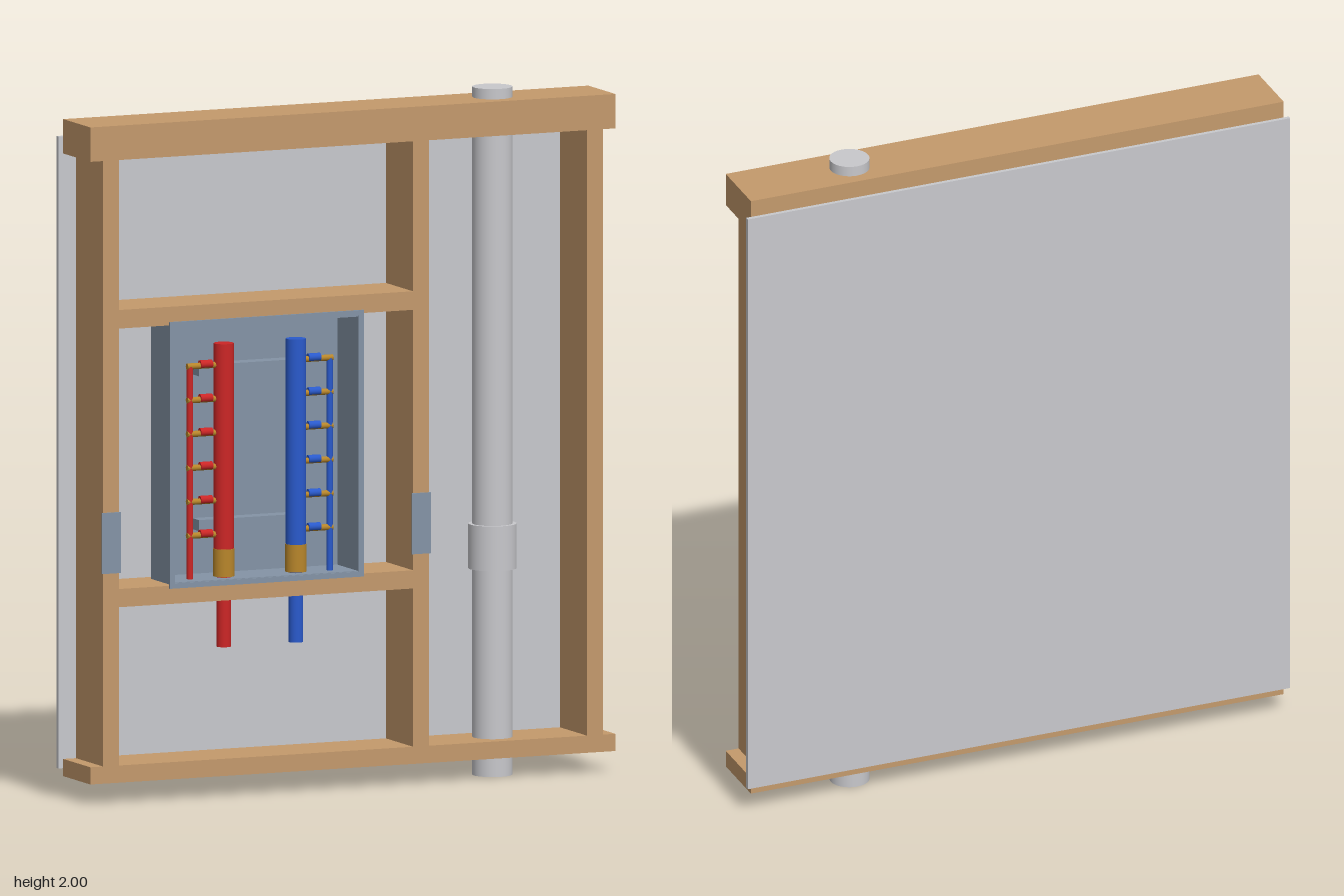
import * as THREE from 'three';

const mat = (name, color) => {
  const m = new THREE.MeshStandardMaterial({ color });
  m.name = name;
  return m;
};

export function createModel() {
  const wood = mat('wood', 0xc49a6c);
  const board = mat('board grey', 0xc8c9cd);
  const plastic = mat('plastic grey', 0xc8c8cc);
  const steel = mat('steel', 0x8494a6);
  const red = mat('red pipe', 0xcc2626);
  const blue = mat('blue pipe', 0x2a5acc);
  const brass = mat('brass', 0xb8862b);

  const model = new THREE.Group();
  model.name = 'plumbingWall';

  // Box given by its extents on each axis
  const box = (name, m, [x0, x1], [y0, y1], [z0, z1], parent = model) => {
    const mesh = new THREE.Mesh(new THREE.BoxGeometry(x1 - x0, y1 - y0, z1 - z0), m);
    mesh.position.set((x0 + x1) / 2, (y0 + y1) / 2, (z0 + z1) / 2);
    mesh.name = name;
    parent.add(mesh);
  };
  // Upright pipe between two heights
  const pipe = (name, m, x, z, r, y0, y1, parent = model) => {
    const mesh = new THREE.Mesh(new THREE.CylinderGeometry(r, r, y1 - y0, 28), m);
    mesh.position.set(x, (y0 + y1) / 2, z);
    mesh.name = name;
    parent.add(mesh);
  };
  // Sideways pipe between two x values
  const crossPipe = (name, m, x0, x1, y, z, r, parent) => {
    const mesh = new THREE.Mesh(new THREE.CylinderGeometry(r, r, Math.abs(x1 - x0), 16), m);
    mesh.rotation.z = Math.PI / 2;
    mesh.position.set((x0 + x1) / 2, y, z);
    mesh.name = name;
    parent.add(mesh);
  };

  // Timber frame
  const depth = [-0.092, 0.097];
  box('topPlate', wood, [-0.83, 0.83], [1.87, 1.97], depth);
  box('bottomPlate', wood, [-0.83, 0.83], [0.06, 0.11], depth);
  for (const x of [-0.765, 0.215, 0.765]) box('stud', wood, [x - 0.025, x + 0.025], [0.11, 1.87], depth);
  box('upperBlocking', wood, [-0.74, 0.19], [1.38, 1.434], depth);
  box('lowerBlocking', wood, [-0.74, 0.19], [0.57, 0.623], depth);

  // Wall board on the back
  box('wallBoard', board, [-0.845, 0.845], [0.083, 1.92], [-0.105, -0.093]);

  // Nail plates
  for (const x of [-0.765, 0.215]) box('nailPlate', steel, [x - 0.03, x + 0.03], [0.67, 0.847], [0.097, 0.102]);

  // Drain pipe with coupling
  pipe('drainPipe', plastic, 0.485, 0, 0.058, 0, 2);
  pipe('drainCoupling', plastic, 0.485, 0, 0.07, 0.6, 0.73);

  // Recessed cabinet, open at the front
  const cabinet = new THREE.Group();
  cabinet.name = 'cabinet';
  model.add(cabinet);
  const cz = [-0.05, 0.1];
  box('cabinetBack', steel, [-0.57, 0.02], [0.624, 1.379], [-0.05, -0.042], cabinet);
  box('cabinetSide', steel, [-0.572, -0.564], [0.624, 1.379], cz, cabinet);
  box('cabinetSide', steel, [0.014, 0.022], [0.624, 1.379], cz, cabinet);
  box('cabinetTop', steel, [-0.57, 0.02], [1.371, 1.379], cz, cabinet);
  box('cabinetFloor', steel, [-0.57, 0.02], [0.624, 0.632], cz, cabinet);

  // Thin rim around the opening
  const rim = new THREE.Shape();
  rim.moveTo(-0.582, 0.615).lineTo(0.032, 0.615).lineTo(0.032, 1.39).lineTo(-0.582, 1.39).closePath();
  const hole = new THREE.Path();
  hole.moveTo(-0.566, 0.63).lineTo(-0.566, 1.374).lineTo(0.016, 1.374).lineTo(0.016, 0.63).closePath();
  rim.holes.push(hole);
  const rimMesh = new THREE.Mesh(new THREE.ExtrudeGeometry(rim, { depth: 0.006, bevelEnabled: false }), steel);
  rimMesh.position.z = 0.098;
  rimMesh.name = 'cabinetRim';
  cabinet.add(rimMesh);

  // Rails that carry the manifolds
  for (const y of [1.228, 0.778]) box('mountingRail', steel, [-0.445, -0.105], [y - 0.016, y + 0.016], [-0.042, 0.005], cabinet);

  // Hot and cold manifolds; side gives the direction of the outlets
  const pz = 0.052;
  for (const [name, m, x, side] of [['hotManifold', red, -0.388, -1], ['coldManifold', blue, -0.16, 1]]) {
    const g = new THREE.Group();
    g.name = name;
    model.add(g);
    pipe('manifoldPipe', m, x, pz, 0.029, 0.71, 1.312, g);
    pipe('brassFitting', brass, x, pz, 0.031, 0.635, 0.715, g);
    pipe('supplyPipe', m, x, pz, 0.021, 0.43, 0.64, g);
    pipe('branchPipe', m, x + side * 0.107, pz, 0.009, 0.632, 1.25, g);
    for (let i = 0; i < 6; i++) {
      const y = 1.25 - i * 0.0985;
      crossPipe('outlet', brass, x + side * 0.02, x + side * 0.116, y, pz, 0.009, g);
      crossPipe('valve', m, x + side * 0.038, x + side * 0.076, y + 0.004, pz, 0.012, g);
    }
  }
  return model;
}
